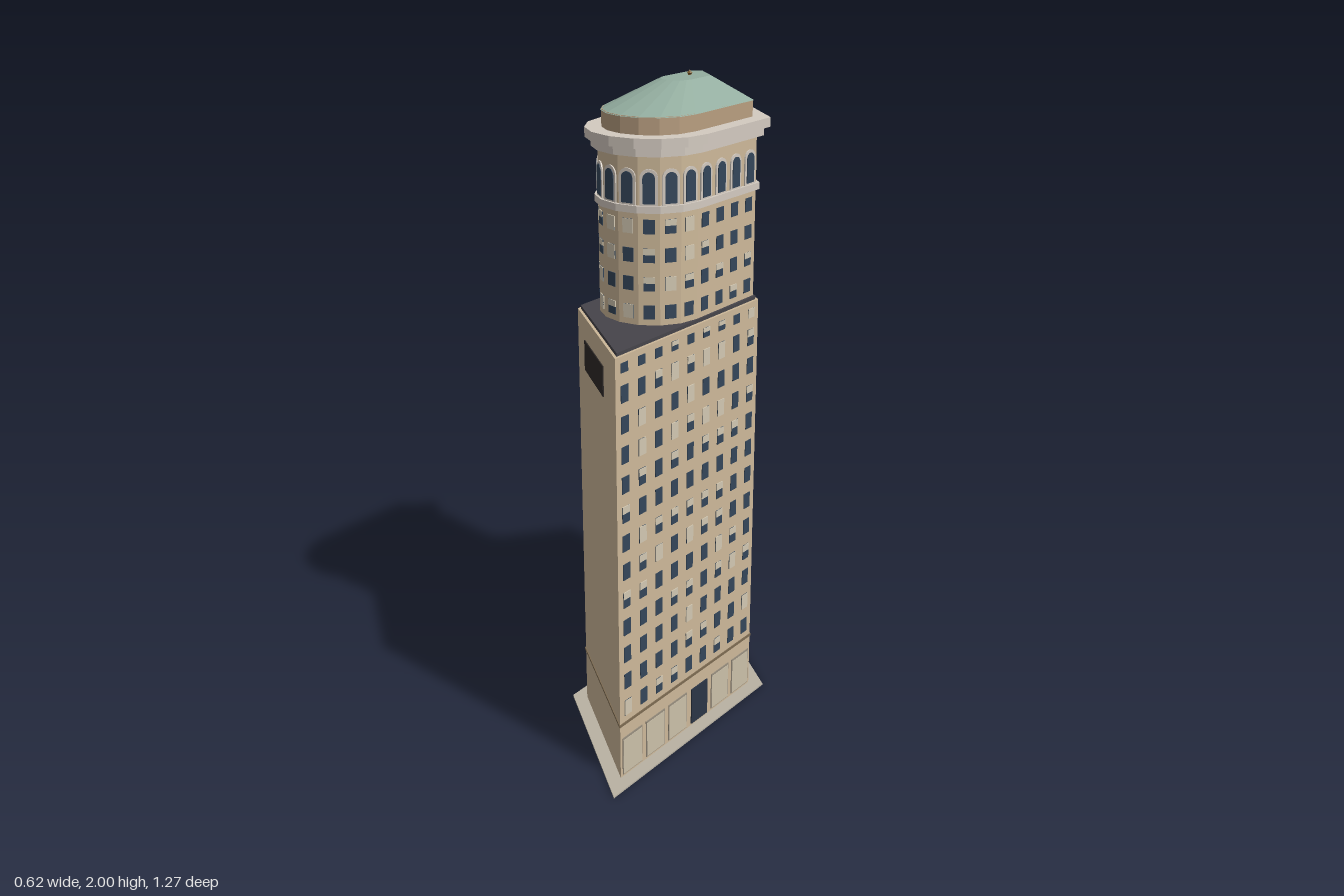
import * as THREE from 'three';
import { mergeGeometries } from 'three/addons/utils/BufferGeometryUtils.js';

const STONE = 0xcdb899, TRIM = 0xd3cac0, ROOF = 0x46444a, GLASS = 0x34465a, BLIND = 0xd2c8b2;

// Ground plans as [x, z] corners, walked anticlockwise seen from above
const MAIN = [[-0.2, 0.545], [0.265, 0.09], [0.213, -0.225], [0.035, -0.2], [-0.27, 0.11]];
const ANNEX = [[0.213, -0.225], [0.154, -0.637], [-0.178, -0.588], [-0.133, -0.267], [0.03, -0.296], [0.04, -0.2]];
const DRUM = [[0.238, 0.075], [0.201, -0.183], [0.107, -0.186]];
const ARC = 8;
for (let i = 0; i <= ARC; i++) { // rounded end of the drum
  const a = Math.PI * (1.25 - i / ARC);
  DRUM.push([-0.054 + 0.143 * Math.cos(a), 0.166 + 0.143 * Math.sin(a)]);
}

let seed = 7;
const rand = () => (seed = (seed * 16807) % 2147483647) / 2147483647;

// Unit outward normal of the edge a-b
function normal(a, b) {
  const dx = b[0] - a[0], dz = b[1] - a[1], l = Math.hypot(dx, dz);
  return [-dz / l, dx / l];
}

// Mitred outward offset of a plan
function offset(plan, d) {
  const n = plan.length;
  return plan.map((p, i) => {
    const m = normal(plan[(i + n - 1) % n], p), k = normal(p, plan[(i + 1) % n]);
    const s = d / (1 + m[0] * k[0] + m[1] * k[1]);
    return [p[0] + (m[0] + k[0]) * s, p[1] + (m[1] + k[1]) * s];
  });
}

const edges = (plan) => plan.map((a, i) => [a, plan[(i + 1) % plan.length]]);
const edgeLength = ([a, b]) => Math.hypot(b[0] - a[0], b[1] - a[1]);

function makeMesh(name, geometry, color) {
  const mesh = new THREE.Mesh(geometry, new THREE.MeshStandardMaterial({ color, flatShading: true }));
  mesh.name = name;
  return mesh;
}

function makeGroup(name) {
  const group = new THREE.Group();
  group.name = name;
  return group;
}

// Vertical block standing on a plan
function prism(name, plan, y0, y1, color) {
  const shape = new THREE.Shape(plan.map(([x, z]) => new THREE.Vector2(x, -z)));
  const g = new THREE.ExtrudeGeometry(shape, { depth: y1 - y0, bevelEnabled: false });
  return makeMesh(name, g.rotateX(-Math.PI / 2).translate(0, y0, 0), color);
}

// Sloped roof that shrinks by k towards a centre, with a flat top
function slopedRoof(name, plan, [cx, cz], k, y0, y1, color) {
  const pos = [];
  const upper = ([x, z]) => [cx + (x - cx) * k, y1, cz + (z - cz) * k];
  for (const [a, b] of edges(plan)) {
    const A = [a[0], y0, a[1]], B = [b[0], y0, b[1]], C = upper(b), D = upper(a);
    pos.push(...A, ...B, ...C, ...A, ...C, ...D, ...D, ...C, cx, y1, cz);
  }
  const g = new THREE.BufferGeometry();
  g.setAttribute('position', new THREE.Float32BufferAttribute(pos, 3));
  g.computeVertexNormals();
  return makeMesh(name, g, color);
}

// Collects small wall pieces by name and merges each kind into one mesh
class Pieces {
  constructor() {
    this.kinds = {};
  }
  // Places a piece on edge a-b, at fraction t along it and height y
  add(name, color, g, [a, b], t, y) {
    const [nx, nz] = normal(a, b);
    g.rotateY(Math.atan2(nx, nz));
    g.translate(a[0] + (b[0] - a[0]) * t, y, a[1] + (b[1] - a[1]) * t);
    (this.kinds[name] ??= { color, list: [] }).list.push(g);
  }
  panel(name, color, edge, t, y, w, h, depth) {
    this.add(name, color, new THREE.BoxGeometry(w, h, depth), edge, t, y);
  }
  // A window that is bare, covered, or half covered by a blind
  window(edge, t, y, w, h) {
    const r = rand();
    this.panel('windowPanes', GLASS, edge, t, y, w, h, 0.004);
    if (r < 0.2) this.panel('windowBlinds', BLIND, edge, t, y, w, h, 0.006);
    else if (r < 0.45) this.panel('windowBlinds', BLIND, edge, t, y + h * 0.28, w, h * 0.44, 0.006);
  }
  grid(edge, cols, rows, y0, dy, w, h) {
    for (let r = 0; r < rows; r++)
      for (let c = 0; c < cols; c++) this.window(edge, (c + 0.5) / cols, y0 + r * dy, w, h);
  }
  build(group) {
    for (const [name, { color, list }] of Object.entries(this.kinds))
      group.add(makeMesh(name, mergeGeometries(list), color));
  }
}

// Round-headed slab, base at y = 0
function archGeometry(w, h, depth) {
  const s = new THREE.Shape();
  s.moveTo(-w / 2, 0).lineTo(w / 2, 0).lineTo(w / 2, h - w / 2);
  s.absarc(0, h - w / 2, w / 2, 0, Math.PI, false);
  return new THREE.ExtrudeGeometry(s, { depth, bevelEnabled: false, curveSegments: 5 });
}

// Shop fronts along one edge, with a door in bay doorBay
function addShopFronts(pieces, edge, doorBay) {
  const len = edgeLength(edge), bays = Math.floor(len / 0.108), w = len / bays - 0.018;
  for (let k = 0; k < bays; k++) {
    const t = (k + 0.5) / bays;
    if (k === doorBay) {
      pieces.panel('door', 0x2b3546, edge, t, 0.075, w - 0.01, 0.125, 0.008);
    } else {
      pieces.panel('shopFrames', 0x9a9080, edge, t, 0.076, w, 0.128, 0.004);
      pieces.panel('shopPanels', 0xcbc0a9, edge, t, 0.074, w - 0.006, 0.118, 0.006);
    }
  }
}

function createMainBlock() {
  const group = makeGroup('mainBlock'), pieces = new Pieces();
  group.add(
    prism('pavement', offset(MAIN, 0.042), 0, 0.005, 0xb9b2a3),
    prism('mainWalls', MAIN, 0.005, 1.335, STONE),
    prism('baseMoulding', offset(MAIN, 0.003), 0.184, 0.192, 0x7d6b52),
    prism('mainRoof', offset(MAIN, -0.008), 1.335, 1.345, ROOF),
  );
  edges(MAIN).forEach((edge, i) => {
    if (i === 4) { // blank party wall with one louvre
      pieces.panel('louvre', 0x2f2a28, edge, 0.45, 1.222, 0.22, 0.09, 0.006);
      return;
    }
    const cols = Math.floor(edgeLength(edge) / 0.071);
    const hidden = i === 3 - 1 ? 6 : 0; // storeys behind the annex
    pieces.grid(edge, cols, 12 - hidden, 0.239 + hidden * 0.0898, 0.0898, 0.03, 0.05);
    pieces.grid(edge, cols, 1, 1.302, 0, 0.03, 0.028);
    if (!hidden) addShopFronts(pieces, edge, i === 0 ? 3 : -1);
  });
  pieces.build(group);
  return group;
}

function createAnnex() {
  const group = makeGroup('annex'), pieces = new Pieces();
  group.add(
    prism('annexWalls', ANNEX, 0, 0.735, 0xc4bcaa),
    prism('annexRoof', offset(ANNEX, -0.008), 0.735, 0.744, ROOF),
  );
  const columns = [5, 4, 4, 2];
  columns.forEach((cols, i) => pieces.grid(edges(ANNEX)[i], cols, 7, 0.149, 0.0877, 0.034, 0.048));
  pieces.build(group);
  return group;
}

function createUpperTower() {
  const group = makeGroup('upperTower'), pieces = new Pieces();
  const walls = offset(DRUM, 0.012), peak = [0.063, 0.037];
  group.add(
    prism('drumWalls', walls, 1.335, 1.82, STONE),
    prism('sillBand', offset(DRUM, 0.022), 1.665, 1.685, TRIM),
    prism('lowerCornice', offset(DRUM, 0.03), 1.82, 1.845, TRIM),
    prism('upperCornice', offset(DRUM, 0.046), 1.845, 1.872, TRIM),
    prism('attic', DRUM, 1.872, 1.92, 0xb89e80),
    slopedRoof('copperRoof', offset(DRUM, 0.003), peak, 0.33, 1.918, 1.985, 0x93ad9f),
  );
  for (const edge of edges(walls)) {
    const cols = Math.max(1, Math.round(edgeLength(edge) / 0.068));
    pieces.grid(edge, cols, 4, 1.383, 0.081, 0.032, 0.04);
    for (let c = 0; c < cols; c++) { // arcade
      const t = (c + 0.5) / cols;
      pieces.add('archFrames', TRIM, archGeometry(0.05, 0.1, 0.004), edge, t, 1.685);
      pieces.add('archPanes', GLASS, archGeometry(0.034, 0.086, 0.006), edge, t, 1.69);
    }
  }
  pieces.build(group);

  const profile = [[0, 0], [0.006, 0], [0.004, 0.004], [0.008, 0.008], [0.004, 0.012], [0, 0.017]];
  const finial = new THREE.LatheGeometry(profile.map(([r, y]) => new THREE.Vector2(r, y)), 8);
  group.add(makeMesh('finial', finial.translate(peak[0], 1.983, peak[1]), 0x7a5a2a));
  return group;
}

export function createModel() {
  const model = makeGroup('officeTower');
  model.add(createMainBlock(), createAnnex(), createUpperTower());
  return model;
}
